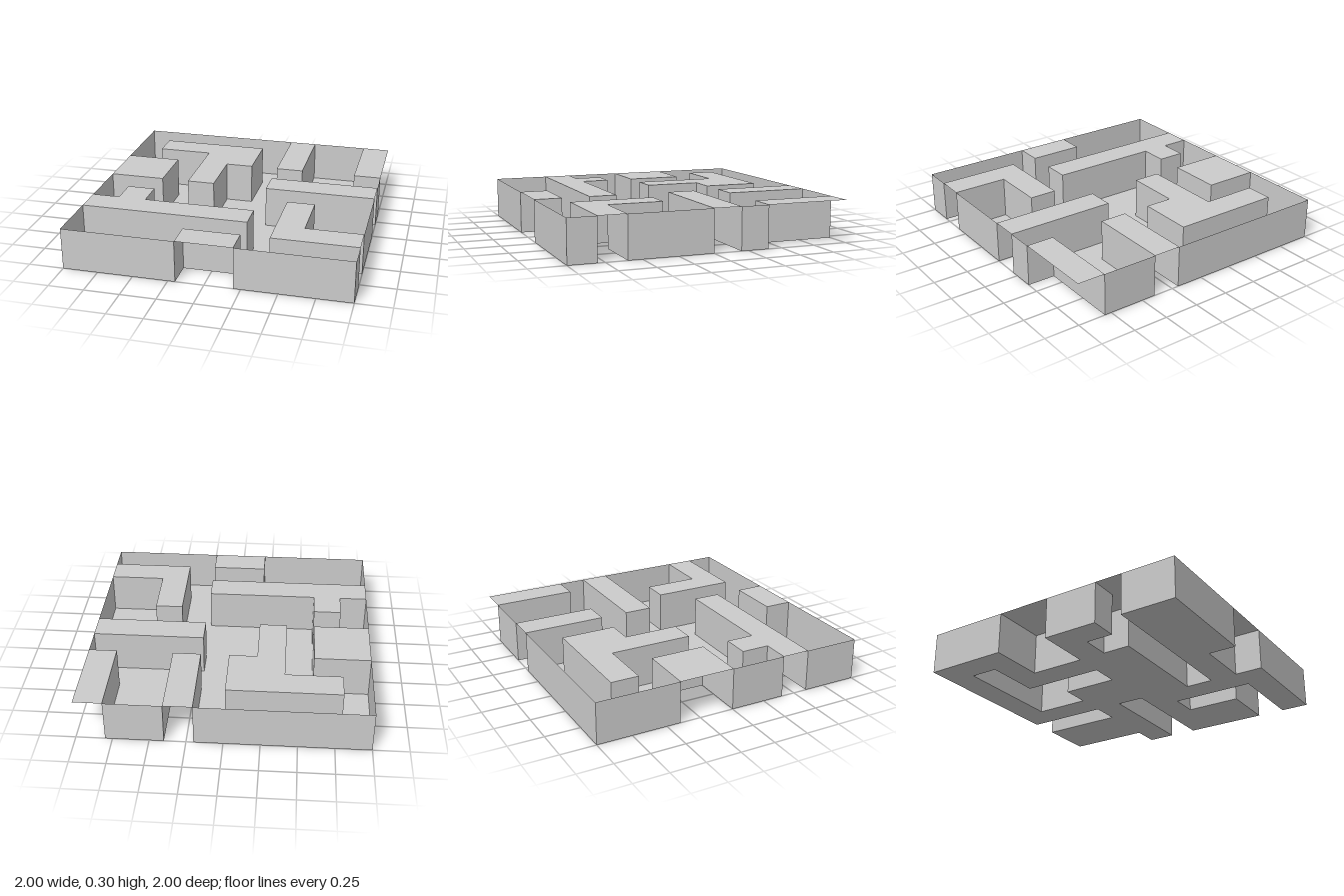
import * as THREE from 'three';
import { mergeGeometries } from 'three/addons/utils/BufferGeometryUtils.js';

const HEIGHT = 0.3;
const CELL = 0.2;

// Corners are [column, row] on a 10 x 10 grid, walked with the corridor on the right.
const corridorOutline = [
  [0, 0], [6, 0], [6, 3], [7, 3], [7, 0], [9, 0], [9, 3], [10, 3], [10, 4], [6, 4], [6, 5], [10, 5],
  [10, 8], [8, 8], [8, 6], [7, 6], [7, 9], [10, 9], [10, 10], [6, 10], [6, 9], [4, 9], [4, 10], [0, 10],
  [0, 8], [6, 8], [6, 7], [2, 7], [2, 6], [1, 6], [1, 7], [0, 7], [0, 5], [2, 5], [2, 3], [0, 3],
];
const islandOutline = [[1, 1], [1, 2], [3, 2], [3, 5], [4, 5], [4, 3], [5, 3], [5, 1]];

// Raised blocks that reach the border
const borderBlocks = [
  [[6, 0], [7, 0], [7, 3], [6, 3]],
  [[9, 0], [10, 0], [10, 3], [9, 3]],
  [[0, 3], [2, 3], [2, 5], [0, 5]],
  [[6, 4], [10, 4], [10, 5], [6, 5]],
  [[0, 7], [1, 7], [1, 6], [2, 6], [2, 7], [6, 7], [6, 8], [0, 8]],
  [[7, 6], [8, 6], [8, 8], [10, 8], [10, 9], [7, 9]],
  [[4, 9], [6, 9], [6, 10], [4, 10]],
];

const coord = (n) => n * CELL - 1;
const toPoints = (corners) => corners.map(([c, r]) => new THREE.Vector2(coord(c), -coord(r)));

// Horizontal sheet facing up
function sheet(corners, y, hole) {
  const shape = new THREE.Shape(toPoints(corners));
  if (hole) shape.holes.push(new THREE.Path(toPoints(hole)));
  return new THREE.ShapeGeometry(shape).rotateX(-Math.PI / 2).translate(0, y, 0);
}

// One upright panel per outline edge, facing the corridor
function panels(corners) {
  return corners.map(([c0, r0], i) => {
    const [c1, r1] = corners[(i + 1) % corners.length];
    const length = Math.hypot(c1 - c0, r1 - r0) * CELL;
    return new THREE.PlaneGeometry(length, HEIGHT)
      .rotateY(Math.atan2(r0 - r1, c1 - c0))
      .translate(coord((c0 + c1) / 2), HEIGHT / 2, coord((r0 + r1) / 2));
  });
}

export function createModel() {
  const model = new THREE.Group();
  model.name = 'maze';
  const material = new THREE.MeshStandardMaterial({ color: 0xcccccc, side: THREE.DoubleSide });
  const add = (name, geometry) => {
    const mesh = new THREE.Mesh(geometry, material);
    mesh.name = name;
    model.add(mesh);
  };

  add('corridorFloor', sheet(corridorOutline, 0, islandOutline));
  add('corridorWalls', mergeGeometries(panels(corridorOutline)));
  add('islandWalls', mergeGeometries(panels(islandOutline)));
  add('islandTop', sheet(islandOutline, HEIGHT));
  borderBlocks.forEach((block, i) => add(`blockTop${i + 1}`, sheet(block, HEIGHT)));

  return model;
}
